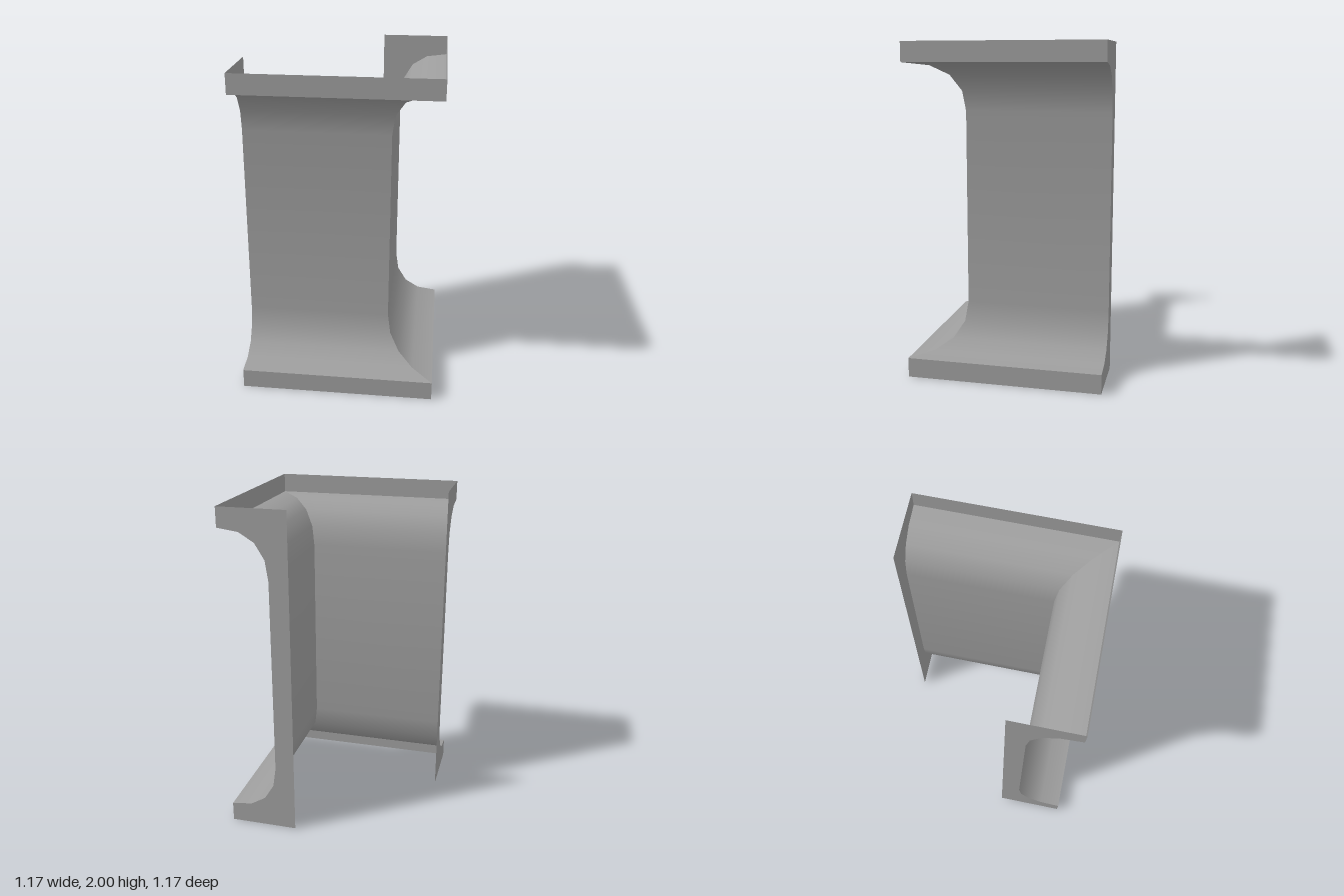
import * as THREE from 'three';

const OUT = 0.587, BACK = 0.176; // outer reach and inner edge of the end plates
const material = new THREE.MeshStandardMaterial({ color: 0x9d9d9d, side: THREE.DoubleSide });

// Moulding profile as [reach, height]: lower cove, then its mirror image
const lower = [[OUT, 0.118], [0.46, 0.135], [0.369, 0.19], [0.311, 0.285], [0.293, 0.407]];
const cove = [...lower, ...lower.map(([r, y]) => [r, 2 - y]).reverse()];
const bottomBand = [[OUT, 0], [OUT, 0.118]];
const topBand = [[OUT, 1.882], [OUT, 2]];

// Runs a profile along a front wall, mitred at the corner x = z
function strip(profile) {
  const points = profile.map(([r, y]) => new THREE.Vector2(r, y));
  const positions = [], normals = [], indices = [];
  points.forEach((p, i) => {
    positions.push(-OUT, p.y, p.x, p.x, p.y, p.x);
    // Smooth normal: even blend of the two neighbouring profile segments
    const direction = new THREE.Vector2();
    if (i > 0) direction.add(p.clone().sub(points[i - 1]).normalize());
    if (i < points.length - 1) direction.add(points[i + 1].clone().sub(p).normalize());
    direction.normalize();
    normals.push(0, -direction.x, direction.y, 0, -direction.x, direction.y);
    if (i > 0) {
      const a = 2 * (i - 1);
      indices.push(a, a + 1, a + 3, a, a + 3, a + 2);
    }
  });
  const geometry = new THREE.BufferGeometry();
  geometry.setAttribute('position', new THREE.Float32BufferAttribute(positions, 3));
  geometry.setAttribute('normal', new THREE.Float32BufferAttribute(normals, 3));
  geometry.setIndex(indices);
  return geometry;
}

// Flat plate closing the free end of the front wall, facing -x
function endPlate() {
  const outline = [[BACK, 0], ...bottomBand, ...cove.slice(1, -1), ...topBand, [BACK, 2]];
  const geometry = new THREE.ShapeGeometry(new THREE.Shape(outline.map(([r, y]) => new THREE.Vector2(r, y))));
  return geometry.rotateY(-Math.PI / 2).translate(-OUT, 0, 0);
}

// Swaps x and z to turn front parts into side parts, keeping faces outward
function swapXZ(geometry) {
  const g = geometry.clone();
  for (const key of ['position', 'normal']) {
    const attribute = g.attributes[key];
    for (let i = 0; i < attribute.count; i++) {
      attribute.setXYZ(i, attribute.getZ(i), attribute.getY(i), attribute.getX(i));
    }
  }
  g.setIndex(Array.from(g.index.array).reverse());
  return g;
}

export function createModel() {
  const model = new THREE.Group();
  model.name = 'cornerMoulding';
  const parts = {
    CovedWall: strip(cove),
    BottomBand: strip(bottomBand),
    TopBand: strip(topBand),
    EndPlate: endPlate(),
  };
  for (const [side, place] of [['front', (g) => g], ['left', swapXZ]]) {
    const wall = new THREE.Group();
    wall.name = side + 'Wall';
    for (const [name, geometry] of Object.entries(parts)) {
      const mesh = new THREE.Mesh(place(geometry), material);
      mesh.name = side + name;
      wall.add(mesh);
    }
    model.add(wall);
  }
  return model;
}
